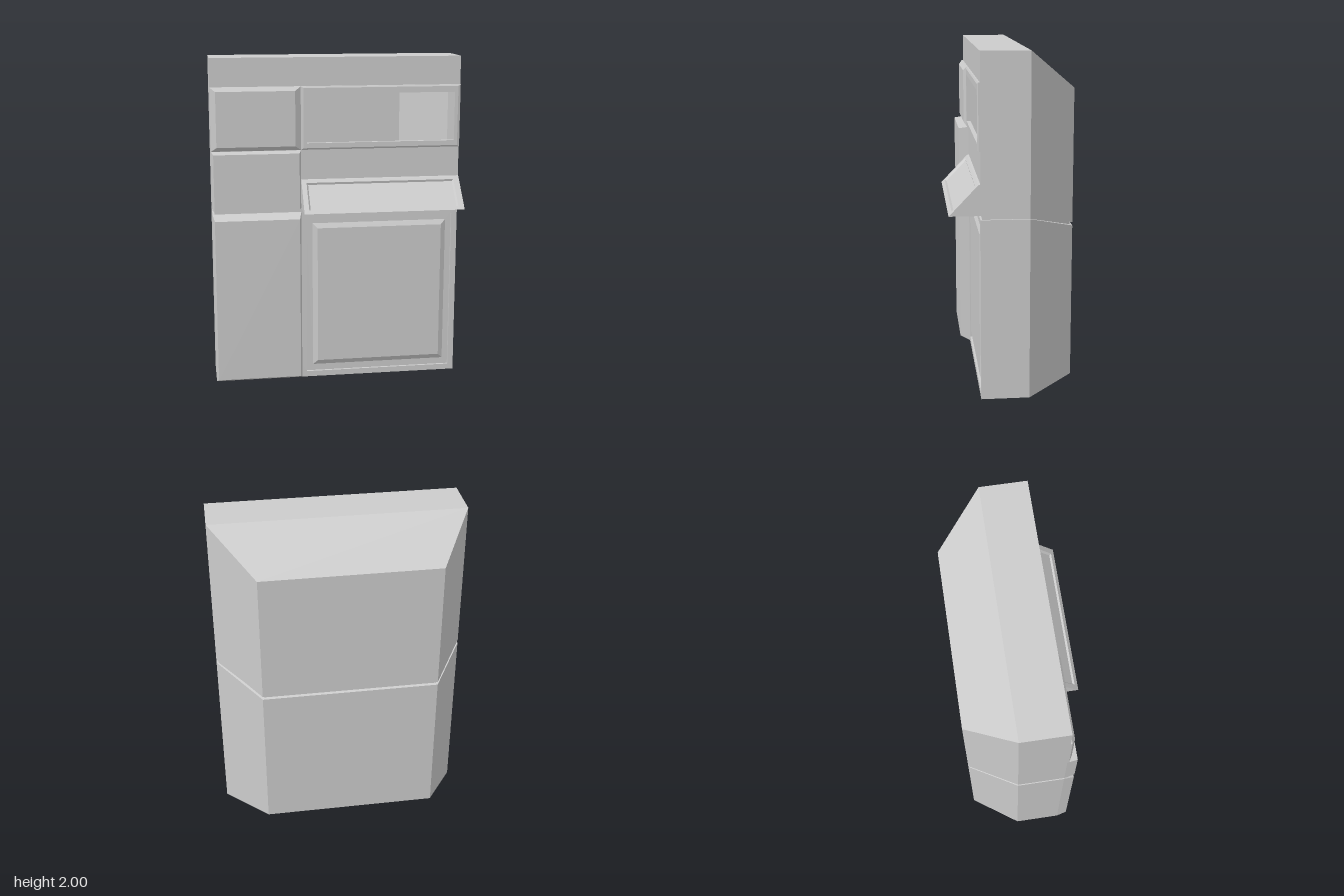
import * as THREE from 'three';

// Rectangular ring: x range, y range, z at the bottom edge, z at the top edge
const ring = (x0, x1, y0, y1, z, zTop = z) => [
  [x0, y0, z], [x1, y0, z], [x1, y1, zTop], [x0, y1, zTop],
];

// Joins rings in order from back to front with flat quads; optional end caps
function loft(name, rings, { back = true, front = true, side = THREE.DoubleSide } = {}) {
  const pos = [];
  const quad = (a, b, c, d) => [a, b, c, a, c, d].forEach((p) => pos.push(...p));
  for (let i = 0; i < rings.length - 1; i++) {
    const r = rings[i], s = rings[i + 1];
    for (let k = 0; k < 4; k++) {
      const n = (k + 1) % 4;
      quad(r[k], r[n], s[n], s[k]);
    }
  }
  if (back) quad(...[...rings[0]].reverse());
  if (front) quad(...rings[rings.length - 1]);
  const geo = new THREE.BufferGeometry();
  geo.setAttribute('position', new THREE.Float32BufferAttribute(pos, 3));
  geo.computeVertexNormals();
  const mesh = new THREE.Mesh(geo, new THREE.MeshStandardMaterial({ color: 0xcccccc, flatShading: true, side }));
  mesh.name = name;
  return mesh;
}

export function createModel() {
  const group = new THREE.Group();
  group.name = 'vendingUnit';

  const W0 = -0.757, W1 = 0.755;      // full width
  const B0 = -0.57, B1 = 0.50;        // narrower back
  const R0 = -0.22;                   // left edge of the right-hand column
  const F = 0.19, M = -0.09, B = -0.37; // front, shoulder and back depths

  // Hollow upper cabinet, open at the window
  group.add(loft('upperCabinet', [
    ring(B0, B1, 0.98, 1.77, B),
    ring(W0, W1, 1.09, 2, M),
    ring(W0, W1, 1.09, 2, F),
    ring(-0.185, 0.72, 1.49, 1.785, F),
  ], { front: false }));

  // Lower cabinet, with a raised door panel set in a shallow recess
  group.add(loft('lowerCabinet', [
    ring(B0, B1, 0.035, 0.96, B),
    ring(W0, W1, 0, 1.065, M),
    ring(W0, W1, 0, 1.065, F),
    ring(-0.19, 0.72, 0.035, 1.03, F),
    ring(-0.19, 0.72, 0.035, 1.03, F - 0.015),
    ring(-0.15, 0.685, 0.075, 0.99, F - 0.015),
    ring(-0.12, 0.655, 0.105, 0.96, F),
  ]));

  // Recessed neck filling the slanted gap between the cabinets
  group.add(loft('neck', [
    ring(B0 + 0.01, B1 - 0.01, 0.94, 1.0, B + 0.015),
    ring(W0 + 0.012, W1 - 0.012, 1.05, 1.105, M),
    ring(W0 + 0.012, W1 - 0.012, 1.05, 1.105, F - 0.01),
  ]));

  // Left column of bevelled panels
  group.add(loft('upperLeftPanel', [
    ring(W0, R0, 1.45, 1.83, F),
    ring(W0, R0, 1.45, 1.83, F + 0.01),
    ring(-0.725, -0.255, 1.475, 1.805, 0.22),
  ]));
  group.add(loft('middleLeftPanel', [
    ring(W0, R0, 1.09, 1.447, F),
    ring(-0.746, -0.235, 1.097, 1.437, 0.253),
  ]));
  group.add(loft('lowerLeftPanel', [
    ring(W0, R0, 0, 1.065, F),
    ring(-0.746, -0.235, 0.03, 1.035, 0.253),
  ]));

  // Raised window frame
  group.add(loft('windowFrame', [
    ring(R0, W1, 1.45, 1.83, F),
    ring(R0, W1, 1.45, 1.83, 0.2),
    ring(-0.205, 0.74, 1.46, 1.82, 0.205),
    ring(-0.185, 0.72, 1.49, 1.785, 0.205),
    ring(-0.185, 0.72, 1.49, 1.785, F - 0.01),
  ], { back: false, front: false }));

  // Sloping hopper with a sunken face
  const slope = (y) => 0.368 - (y - 1.09) * 0.95;
  const face = (x0, x1, y0, y1, d = 0) =>
    ring(x0, x1, y0 - d, y1 - d, slope(y0) - d, slope(y1) - d);
  group.add(loft('hopper', [
    ring(R0, W1, 1.09, 1.268, F),
    face(R0, W1, 1.09, 1.265),
    face(-0.19, 0.72, 1.11, 1.25),
    face(-0.18, 0.71, 1.115, 1.245, 0.008),
  ]));

  return group;
}
